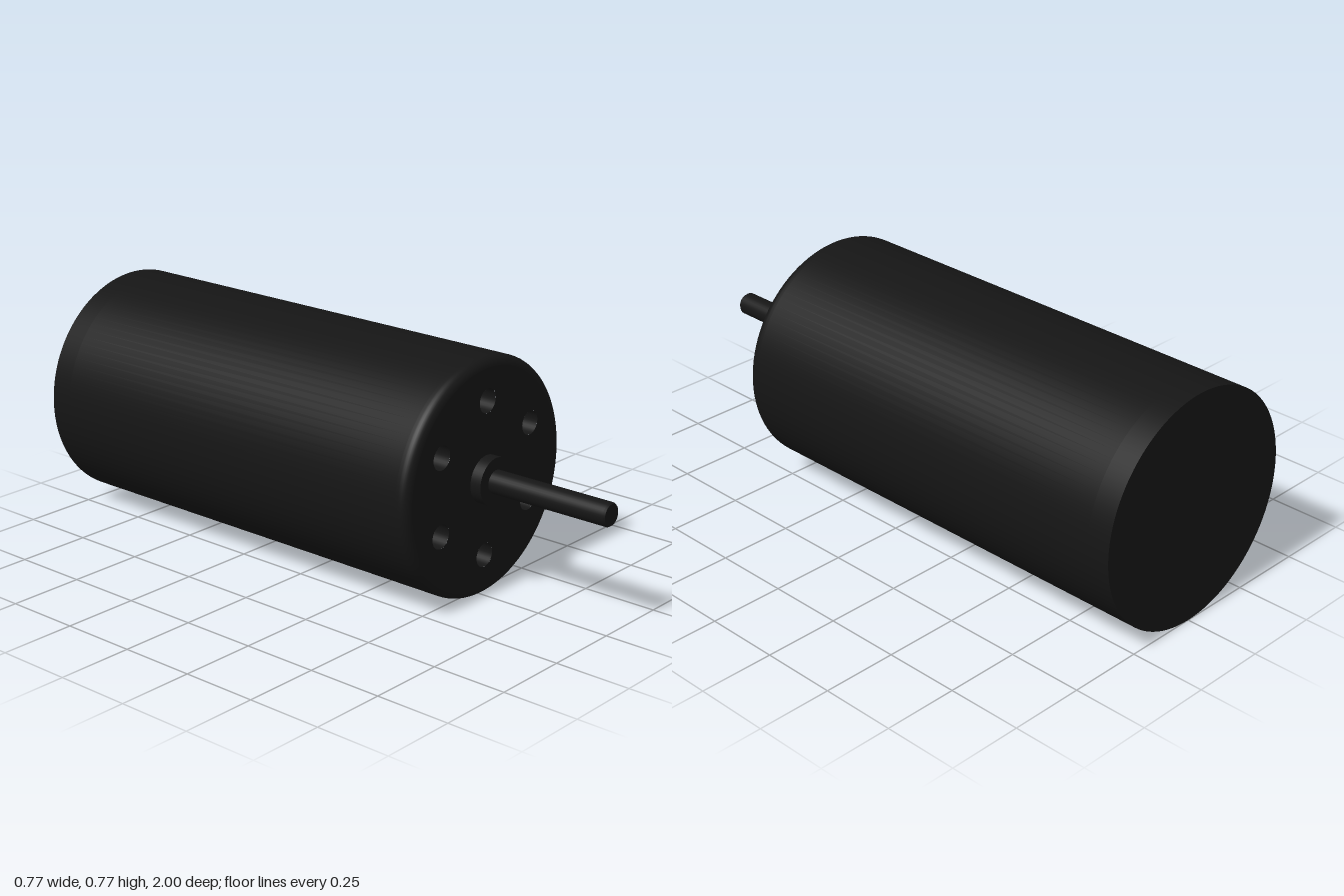
import * as THREE from 'three';

const R = 0.384, BACK = -1, FACE = 0.54, FILLET = 0.03;
const HOLE_R = 0.039, HOLE_DEPTH = 0.08, HOLE_CIRCLE = 0.25;

export function createModel() {
  const model = new THREE.Group();
  const axis = new THREE.Group();
  axis.name = 'motor';
  axis.position.y = R;
  model.add(axis);

  const black = new THREE.MeshStandardMaterial({ color: 0x151515 });
  const blackInside = new THREE.MeshStandardMaterial({ color: 0x151515, side: THREE.DoubleSide });

  const add = (name, geometry, parent = axis, material = black) => {
    const mesh = new THREE.Mesh(geometry, material);
    mesh.name = name;
    parent.add(mesh);
    return mesh;
  };
  // Surface of revolution about z, from [radius, z] pairs running back to front
  const turned = (profile, sides) => new THREE.LatheGeometry(
    profile.map(([r, z]) => new THREE.Vector2(r, z)), sides).rotateX(Math.PI / 2);
  const disc = (r, z, sides) => new THREE.CircleGeometry(r, sides).translate(0, 0, z);

  // Can with a rounded front edge
  const can = [[R, BACK], [R, BACK + 0.08], [R, FACE - FILLET - 0.01]];
  for (let i = 0; i <= 8; i++) {
    const a = (i / 8) * Math.PI / 2;
    can.push([R - FILLET + FILLET * Math.cos(a), FACE - FILLET + FILLET * Math.sin(a)]);
  }
  add('can', turned(can, 96));
  add('backPlate', new THREE.CircleGeometry(R, 96).rotateY(Math.PI).translate(0, 0, BACK));

  // Front plate with a ring of six mounting holes
  const plate = new THREE.Shape().absarc(0, 0, R - FILLET, 0, Math.PI * 2, false);
  const holes = new THREE.Group();
  holes.name = 'mountingHoles';
  axis.add(holes);
  for (let i = 0; i < 6; i++) {
    const a = Math.PI / 6 + i * Math.PI / 3;
    const x = HOLE_CIRCLE * Math.cos(a), y = HOLE_CIRCLE * Math.sin(a);
    plate.holes.push(new THREE.Path().absarc(x, y, HOLE_R, 0, Math.PI * 2, true));
    add('holeWall', turned([[HOLE_R, FACE - HOLE_DEPTH], [HOLE_R, FACE]], 32), holes, blackInside)
      .position.set(x, y, 0);
    add('holeFloor', disc(HOLE_R, FACE - HOLE_DEPTH, 32), holes).position.set(x, y, 0);
  }
  add('frontPlate', new THREE.ShapeGeometry(plate, 48).translate(0, 0, FACE));

  // Bearing boss
  const bossFront = 0.578;
  add('bearingBoss', turned([[0.077, FACE], [0.077, bossFront]], 48));
  add('bossFace', disc(0.077, bossFront, 48));

  // Output shaft with a slightly chamfered tip
  add('shaft', turned([[0.038, bossFront], [0.038, 0.994]], 32));
  add('shaftChamfer', turned([[0.038, 0.994], [0.034, 1]], 32));
  add('shaftTip', disc(0.034, 1, 32));

  return model;
}
